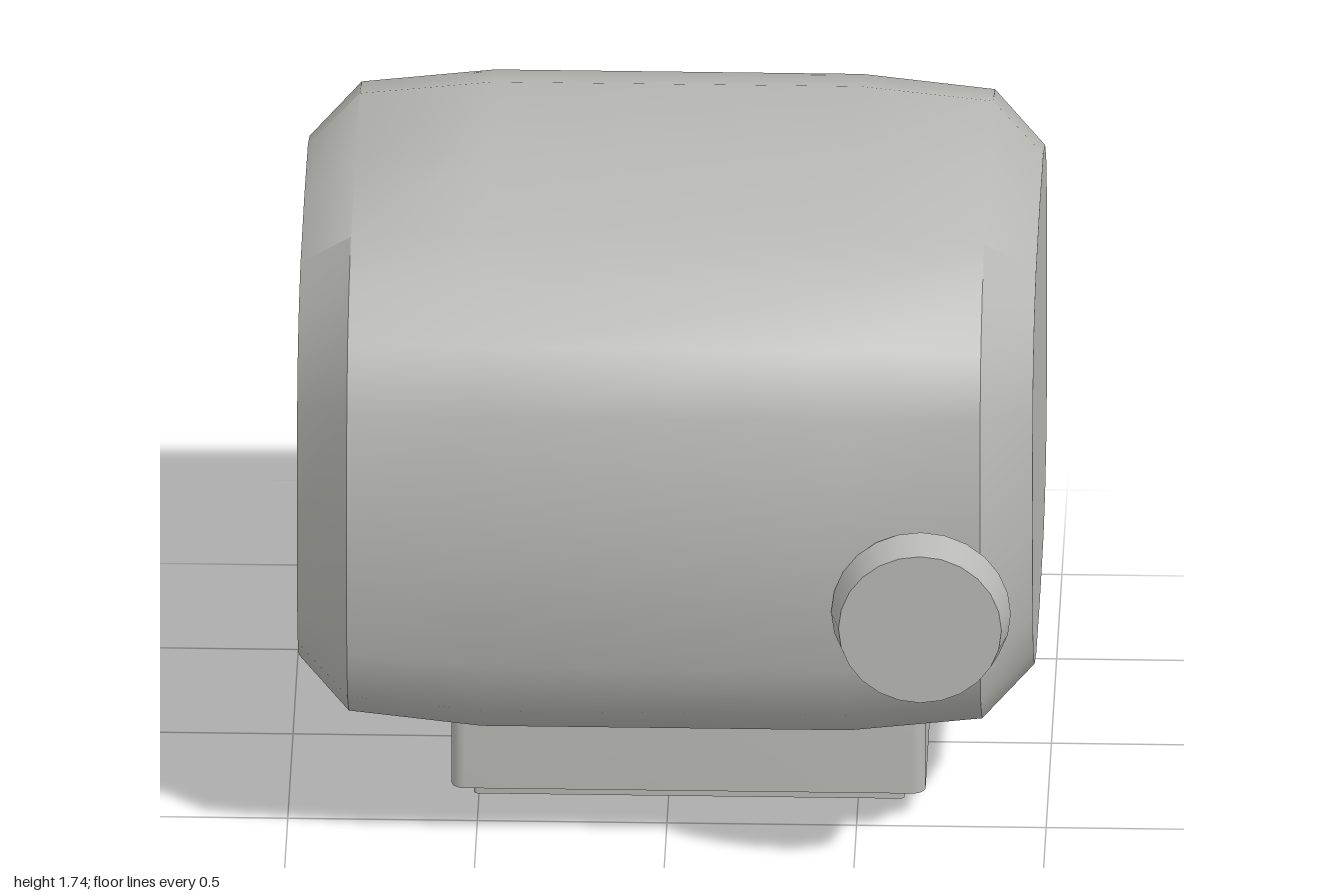
import * as THREE from 'three';
import { toCreasedNormals } from 'three/addons/utils/BufferGeometryUtils.js';

const grey = new THREE.MeshStandardMaterial({ color: 0xb8b8b4 });
grey.name = 'warm grey';

function part(name, geometry, x = 0, y = 0, z = 0) {
  const mesh = new THREE.Mesh(geometry, grey);
  mesh.name = name;
  mesh.position.set(x, y, z);
  return mesh;
}

// Soft-cornered body: superellipse rings strung along x, closed by flat ends
function bodyGeometry() {
  const rings = [ // x, half height, half depth
    [-0.97, 0.58, 0.69], [-0.835, 0.7, 0.845], [-0.485, 0.73, 0.882],
    [0.485, 0.73, 0.882], [0.835, 0.7, 0.845], [0.97, 0.58, 0.69],
  ];
  const n = 20, power = 0.585, pos = [], index = [];
  const soft = (v) => Math.abs(v) < 1e-6 ? 0 : Math.sign(v) * Math.abs(v) ** power;
  for (const [x, h, d] of rings) {
    for (let i = 0; i < n; i++) {
      const a = (i / n) * Math.PI * 2;
      pos.push(x, h * soft(Math.sin(a)), d * soft(Math.cos(a)));
    }
  }
  const last = (rings.length - 1) * n, capL = rings.length * n, capR = capL + 1;
  pos.push(rings[0][0], 0, 0, rings.at(-1)[0], 0, 0);
  for (let i = 0; i < n; i++) {
    const j = (i + 1) % n;
    for (let k = 0; k < last; k += n) {
      index.push(k + i, k + n + i, k + n + j, k + i, k + n + j, k + j);
    }
    index.push(capL, i, j, capR, last + j, last + i);
  }
  const g = new THREE.BufferGeometry();
  g.setAttribute('position', new THREE.Float32BufferAttribute(pos, 3));
  g.setIndex(index);
  return toCreasedNormals(g, 0.68);
}

// Upright slab with rounded vertical edges, standing on its origin
function slabGeometry(w, d, h, r) {
  const s = new THREE.Shape(), x = w / 2, y = d / 2;
  s.absarc(x - r, y - r, r, 0, Math.PI / 2);
  s.absarc(-x + r, y - r, r, Math.PI / 2, Math.PI);
  s.absarc(-x + r, -y + r, r, Math.PI, Math.PI * 1.5);
  s.absarc(x - r, -y + r, r, Math.PI * 1.5, Math.PI * 2);
  s.closePath();
  const g = new THREE.ExtrudeGeometry(s, { depth: h, bevelEnabled: false, curveSegments: 4 });
  return toCreasedNormals(g.rotateX(-Math.PI / 2), 0.6);
}

// Tapered disc whose narrow end points along z
function knobGeometry(outer, inner, depth, direction) {
  return new THREE.CylinderGeometry(inner, outer, depth, 24).rotateX(direction * Math.PI / 2);
}

export function createModel() {
  const model = new THREE.Group();
  model.name = 'housing';
  model.add(part('body', bodyGeometry(), 0, 1.007, 0.02));

  // Front and rear bosses
  model.add(part('frontKnob', knobGeometry(0.237, 0.215, 0.1, 1), 0.681, 0.826, 0.95));
  model.add(part('rearBoss', knobGeometry(0.483, 0.438, 0.138, -1), 0.343, 0.911, -0.931));

  // Mounting foot with two rails and a locating peg
  model.add(part('foot', slabGeometry(1.25, 0.87, 0.26, 0.035), 0.055, 0.075, 0.024));
  for (const side of [1, -1]) {
    model.add(part(side > 0 ? 'frontRail' : 'rearRail',
      slabGeometry(1.135, 0.024, 0.07, 0.011), 0.055, 0.015, 0.024 + side * 0.333));
  }
  const peg = new THREE.CylinderGeometry(0.06, 0.06, 0.08, 8);
  model.add(part('locatingPeg', toCreasedNormals(peg, 0.5), -0.343, 0.04, 0.024));
  return model;
}
